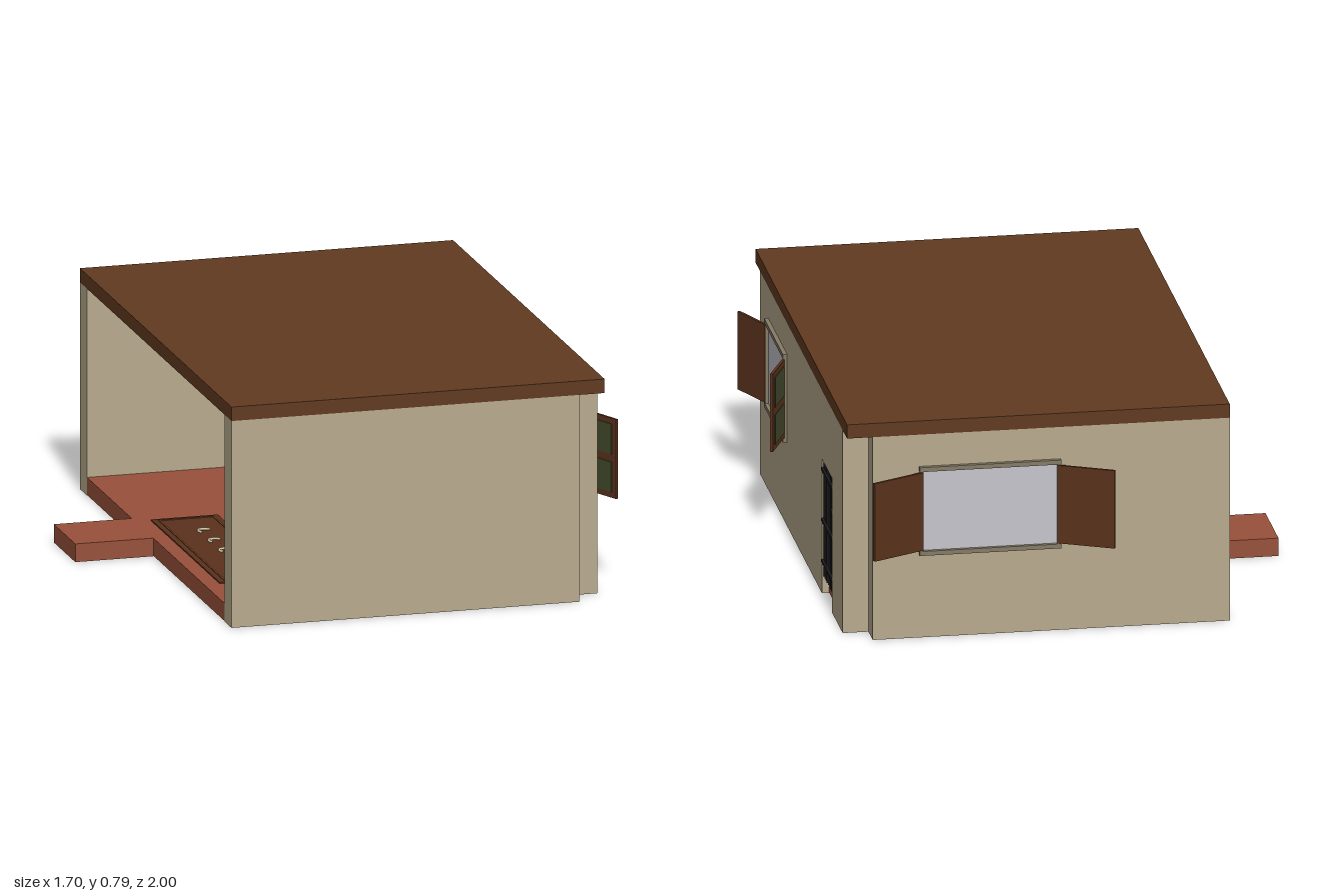
import * as THREE from 'three';

const mat = (name, color) => {
  const m = new THREE.MeshStandardMaterial({ color });
  m.name = name;
  return m;
};

export function createModel() {
  const M = {
    plaster: mat('plaster', 0xb8ab8d),
    roof: mat('roof wood', 0x613a20),
    terracotta: mat('terracotta', 0x98513b),
    glass: mat('window glass', 0xc5c5cc),
    frame: mat('window frame', 0x857b66),
    shutter: mat('shutter wood', 0x5a321c),
    green: mat('green paint', 0x434a2c),
    iron: mat('iron', 0x222224),
    wood: mat('counter wood', 0x7a4526),
    cream: mat('cream', 0xd8ccae),
  };
  const house = new THREE.Group();
  house.name = 'house';

  const add = (parent, name, geo, m, x = 0, y = 0, z = 0) => {
    const mesh = new THREE.Mesh(geo, m);
    mesh.name = name;
    mesh.position.set(x, y, z);
    parent.add(mesh);
    return mesh;
  };
  // box given by its min and max on each axis
  const box = (parent, name, m, x0, x1, y0, y1, z0, z1) =>
    add(parent, name, new THREE.BoxGeometry(x1 - x0, y1 - y0, z1 - z0), m,
      (x0 + x1) / 2, (y0 + y1) / 2, (z0 + z1) / 2);
  const rectHole = (x0, x1, y0, y1) => new THREE.Path([
    [x0, y0], [x1, y0], [x1, y1], [x0, y1]].map(p => new THREE.Vector2(...p)));
  const extrude = (points, holes, depth) => {
    const s = new THREE.Shape(points.map(p => new THREE.Vector2(...p)));
    s.holes.push(...holes);
    return new THREE.ExtrudeGeometry(s, { depth, bevelEnabled: false });
  };

  // Floor, step, roof
  box(house, 'floor', M.terracotta, -0.575, 0.675, 0.002, 0.065, -0.81, 0.91);
  box(house, 'doorSill', M.terracotta, 0.675, 0.74, 0.002, 0.065, -0.584, -0.381);
  box(house, 'step', M.terracotta, -0.855, -0.575, 0, 0.065, -0.25, 0.02);
  box(house, 'roof', M.roof, -0.575, 0.765, 0.74, 0.79, -0.9, 1.0);

  // Walls; the left side stays open
  box(house, 'frontWall', M.plaster, -0.575, 0.675, 0, 0.74, 0.91, 1.0);
  add(house, 'backWall', extrude(
    [[-0.575, 0], [0.675, 0], [0.675, 0.74], [-0.575, 0.74]],
    [rectHole(0.03, 0.5, 0.32, 0.61)], 0.09), M.plaster, 0, 0, -0.9);
  // drawn with horizontal axis = -z, then turned to face +x
  const side = add(house, 'rightWall', extrude(
    [[-0.91, 0], [0.38, 0], [0.38, 0.49], [0.585, 0.49], [0.585, 0], [0.81, 0], [0.81, 0.74], [-0.91, 0.74]],
    [rectHole(-0.72, -0.355, 0.32, 0.61)], 0.09), M.plaster, 0.675, 0, 0);
  side.rotation.y = Math.PI / 2;

  // Window with open shutters; local +z points out of the wall
  const makeWindow = (name, w, len, angle) => {
    const g = new THREE.Group();
    g.name = name;
    const h = 0.145, hw = w / 2;
    box(g, 'glass', M.glass, -hw, hw, -h, h, -0.02, 0.002);
    box(g, 'frameTop', M.frame, -hw - 0.005, hw + 0.005, h, h + 0.016, -0.03, 0.015);
    box(g, 'frameBottom', M.frame, -hw - 0.005, hw + 0.005, -h - 0.016, -h, -0.03, 0.015);
    for (const s of [-1, 1]) {
      add(g, 'frameSide', new THREE.BoxGeometry(0.012, 2 * h, 0.04), M.frame, s * (hw - 0.002), 0, -0.008);
      const leaf = new THREE.Group();
      leaf.name = 'shutter';
      leaf.position.set(s * (hw - 0.005), 0, 0.01);
      leaf.rotation.y = -s * angle;
      add(leaf, 'board', new THREE.BoxGeometry(len, 0.284, 0.01), M.shutter, s * len / 2, 0, 0);
      for (const v of [-1, 1]) {
        add(leaf, 'panel', new THREE.BoxGeometry(len - 0.045, 0.108, 0.004), M.green,
          s * len / 2, v * 0.068, -0.006);
      }
      g.add(leaf);
    }
    house.add(g);
    return g;
  };
  const rightWindow = makeWindow('rightWindow', 0.38, 0.17, 0.42);
  rightWindow.position.set(0.765, 0.466, 0.54);
  rightWindow.rotation.y = Math.PI / 2;
  const backWindow = makeWindow('backWindow', 0.485, 0.205, 0.45);
  backWindow.position.set(0.265, 0.463, -0.9);
  backWindow.rotation.y = Math.PI;

  // Iron gate in the doorway
  const gate = new THREE.Group();
  gate.name = 'gate';
  house.add(gate);
  for (let i = 0; i < 9; i++) {
    add(gate, 'bar', new THREE.CylinderGeometry(0.004, 0.004, 0.415, 8), M.iron,
      0.758, 0.2725, -0.39 - i * 0.0232);
  }
  for (const y of [0.12, 0.27, 0.455]) {
    box(gate, 'rail', M.iron, 0.752, 0.768, y - 0.006, y + 0.006, -0.583, -0.382);
  }
  box(gate, 'lock', M.iron, 0.75, 0.766, 0.355, 0.368, -0.583, -0.555);

  // Ceiling beams
  for (const z of [-0.6, -0.4, -0.2, -0.03, 0.16, 0.41, 0.88]) {
    box(house, 'beam', M.roof, -0.5, 0.675, 0.685, 0.74, z - 0.03, z + 0.03);
  }

  // Counter with framed panels
  const counter = new THREE.Group();
  counter.name = 'counter';
  house.add(counter);
  box(counter, 'counterBody', M.green, -0.16, 0.04, 0.065, 0.235, -0.35, 0.91);
  box(counter, 'counterTop', M.wood, -0.2, 0.07, 0.235, 0.26, -0.37, 0.91);
  const pitch = 1.26 / 9;
  for (let i = 0; i < 9; i++) {
    const z = -0.35 + pitch * i, a = z + 0.02, b = z + pitch - 0.02;
    for (const [y0, y1, z0, z1] of [[0.09, 0.1, a, b], [0.205, 0.215, a, b],
      [0.1, 0.205, a, a + 0.008], [0.1, 0.205, b - 0.008, b]]) {
      box(counter, 'panelMoulding', M.green, -0.168, -0.16, y0, y1, z0, z1);
    }
  }
  // Trays and dishes on the counter
  [-0.09, 0.04, 0.17, 0.31].forEach((z, i) => {
    box(counter, 'tray', M.shutter, -0.165, -0.07, 0.26, 0.267, z - 0.05, z + 0.05);
    box(counter, 'dish', i === 1 ? M.terracotta : M.cream, -0.145, -0.09, 0.267, 0.28, z - 0.03, z + 0.03);
  });

  // Rug with an inner border and a row of crescents
  const rug = new THREE.Group();
  rug.name = 'rug';
  house.add(rug);
  box(rug, 'rugBase', M.shutter, -0.52, -0.28, 0.065, 0.07, -0.2, 0.66);
  for (const [x0, x1, z0, z1] of [[-0.5, -0.494, -0.18, 0.64], [-0.306, -0.3, -0.18, 0.64],
    [-0.494, -0.306, -0.18, -0.174], [-0.494, -0.306, 0.634, 0.64]]) {
    box(rug, 'rugBorder', M.wood, x0, x1, 0.07, 0.073, z0, z1);
  }
  for (let i = 0; i < 5; i++) {
    const c = add(rug, 'crescent', new THREE.TorusGeometry(0.022, 0.005, 6, 16, Math.PI * 1.3), M.cream,
      -0.385, 0.073, i * 0.133);
    c.rotation.x = -Math.PI / 2;
  }

  // Small bench in the back corner
  const bench = new THREE.Group();
  bench.name = 'bench';
  house.add(bench);
  box(bench, 'benchSeat', M.wood, 0.1, 0.4, 0.2, 0.255, -0.76, -0.51);
  for (const x of [0.12, 0.38]) {
    for (const z of [-0.74, -0.535]) {
      box(bench, 'benchLeg', M.shutter, x - 0.01, x + 0.01, 0.065, 0.2, z - 0.01, z + 0.01);
    }
    box(bench, 'benchRung', M.wood, x - 0.008, x + 0.008, 0.14, 0.158, -0.75, -0.515);
  }
  return house;
}
